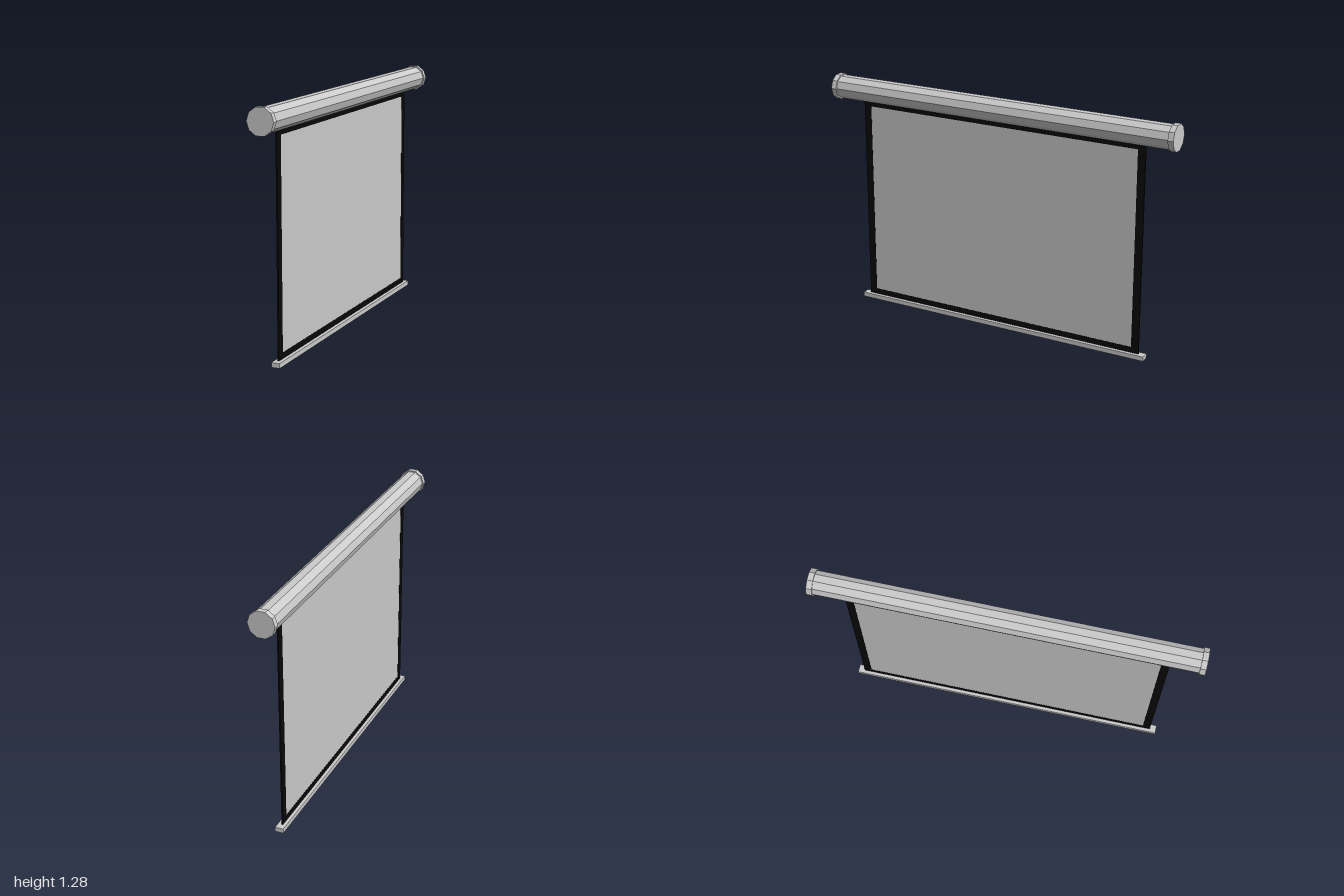
import * as THREE from 'three';

export function createModel() {
  const model = new THREE.Group();
  model.name = 'projectionScreen';

  const grey = new THREE.MeshStandardMaterial({ color: 0xcccccc, flatShading: true });
  const black = new THREE.MeshStandardMaterial({ color: 0x080808, flatShading: true });

  const add = (name, geometry, material, x, y, z) => {
    const mesh = new THREE.Mesh(geometry, material);
    mesh.name = name;
    mesh.position.set(x, y, z);
    model.add(mesh);
  };
  const box = (name, material, w, h, d, x, y, z) =>
    add(name, new THREE.BoxGeometry(w, h, d), material, x, y, z);

  // Ten-sided drum lying along z, flat side up
  const drum = (name, radius, length, z) => {
    const geometry = new THREE.CylinderGeometry(radius, radius, length, 10, 1, false, Math.PI / 2);
    add(name, geometry.rotateX(Math.PI / 2), grey, 0, 1.217, z);
  };

  // Roller housing with a wider cap on each end
  drum('rollerHousing', 0.064, 1.95, 0);
  for (const side of [-1, 1]) drum(side > 0 ? 'frontEndCap' : 'backEndCap', 0.071, 0.03, side * 0.9836);

  // Screen cloth in its black border
  const screenX = -0.001;
  box('screenCloth', grey, 0.006, 1.09, 1.6, screenX, 0.592, 0);
  for (const side of [-1, 1]) {
    box(side > 0 ? 'frontBorder' : 'backBorder', black, 0.008, 1.14, 0.042, screenX, 0.595, side * 0.809);
  }
  box('bottomBorder', black, 0.008, 0.031, 1.576, screenX, 0.0405, 0);
  box('topBorder', black, 0.008, 0.037, 1.576, screenX, 1.1465, 0);

  // Weight bar along the bottom edge
  box('weightBar', grey, 0.045, 0.025, 1.73, 0, 0.0125, 0);

  // The whole screen stands at a slight angle
  model.rotation.y = -0.02;
  const root = new THREE.Group();
  root.add(model);
  return root;
}
